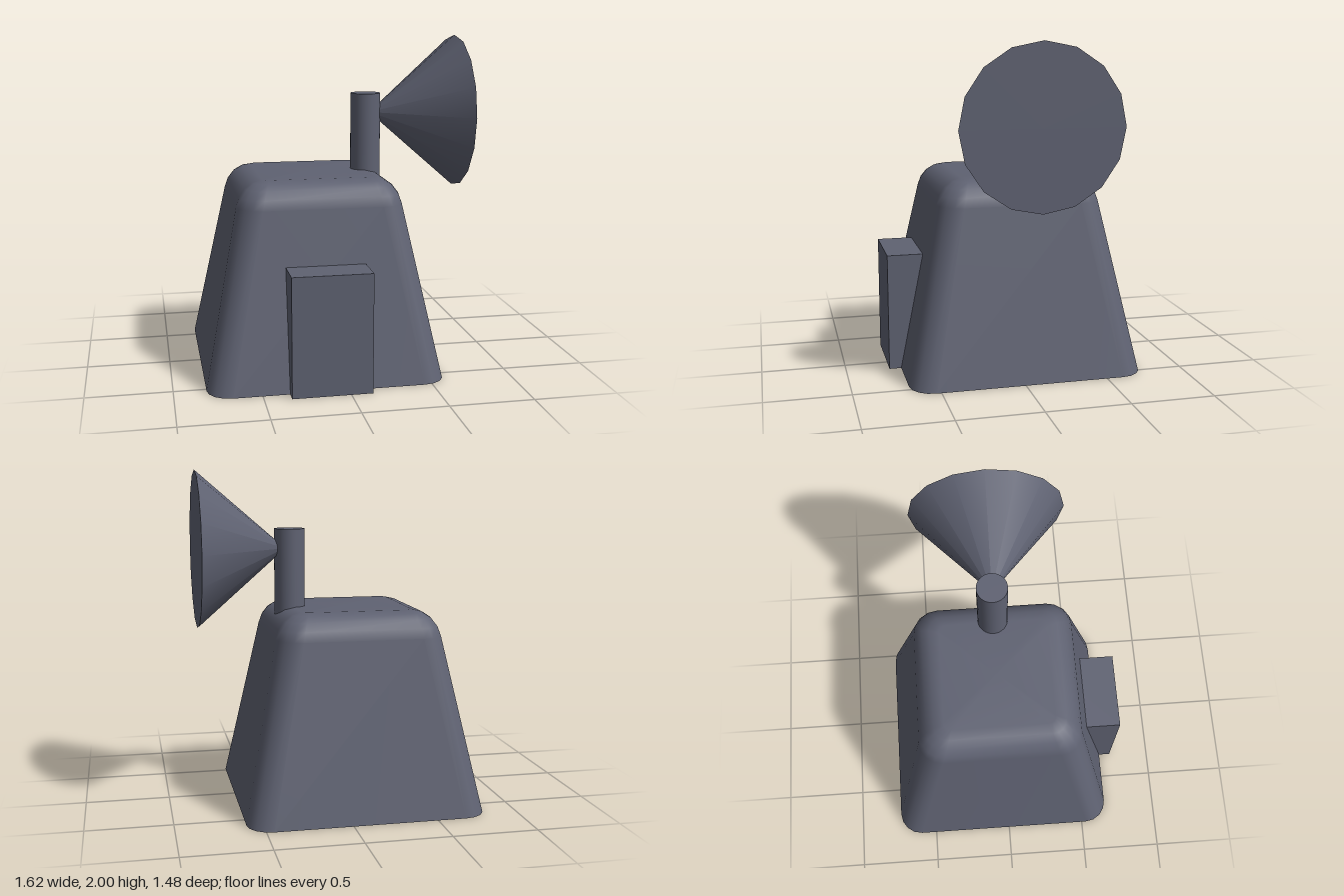
import * as THREE from 'three';

// Smooth shell of rounded-square rings, closed on top and open below
function taperedShell(rings, cornerSegments) {
  const positions = [], index = [];
  const n = 4 * (cornerSegments + 1);
  for (const [half, y, r] of rings) {
    for (let c = 0; c < 4; c++) {
      const mid = Math.PI / 4 + c * Math.PI / 2;
      const cx = Math.sign(Math.cos(mid)) * (half - r);
      const cz = Math.sign(Math.sin(mid)) * (half - r);
      for (let i = 0; i <= cornerSegments; i++) {
        const a = (c + i / cornerSegments) * Math.PI / 2;
        positions.push(cx + r * Math.cos(a), y, cz + r * Math.sin(a));
      }
    }
  }
  for (let k = 0; k < rings.length - 1; k++) {
    for (let i = 0; i < n; i++) {
      const j = (i + 1) % n;
      const a = k * n + i, b = k * n + j, c = a + n, d = b + n;
      index.push(a, c, b, b, c, d);
    }
  }
  // top cap
  const last = (rings.length - 1) * n;
  const centre = positions.length / 3;
  positions.push(0, rings[rings.length - 1][1], 0);
  for (let i = 0; i < n; i++) index.push(last + i, centre, last + (i + 1) % n);

  const geometry = new THREE.BufferGeometry();
  geometry.setAttribute('position', new THREE.Float32BufferAttribute(positions, 3));
  geometry.setIndex(index);
  geometry.computeVertexNormals();
  return geometry;
}

export function createModel() {
  const group = new THREE.Group();
  const slate = new THREE.MeshStandardMaterial({ color: 0x5f6272, side: THREE.DoubleSide });
  slate.name = 'slate grey';

  const add = (name, geometry, x, y, z) => {
    const mesh = new THREE.Mesh(geometry, slate);
    mesh.name = name;
    mesh.position.set(x, y, z);
    group.add(mesh);
  };

  // Hut: [half width, height, corner radius] from the open base to the rounded roof
  const rings = [
    [0.703, 0, 0.14], [0.495, 1.03, 0.14], [0.477, 1.085, 0.135],
    [0.442, 1.133, 0.115], [0.395, 1.165, 0.085], [0.335, 1.18, 0.045],
  ];
  add('hutShell', taperedShell(rings, 4), -0.107, 0, -0.035);

  // Entrance block running through the front wall
  add('entrance', new THREE.BoxGeometry(0.47, 0.71, 0.47), -0.108, 0.355, 0.505);

  // Mast on the roof
  add('mast', new THREE.CylinderGeometry(0.092, 0.092, 0.65, 32), 0.245, 1.325, -0.035);

  // Dish cone with its tip buried in the mast
  const dish = new THREE.ConeGeometry(0.47, 0.54, 16);
  dish.rotateZ(Math.PI / 2);
  add('dish', dish, 0.54, 1.53, -0.035);

  return group;
}
